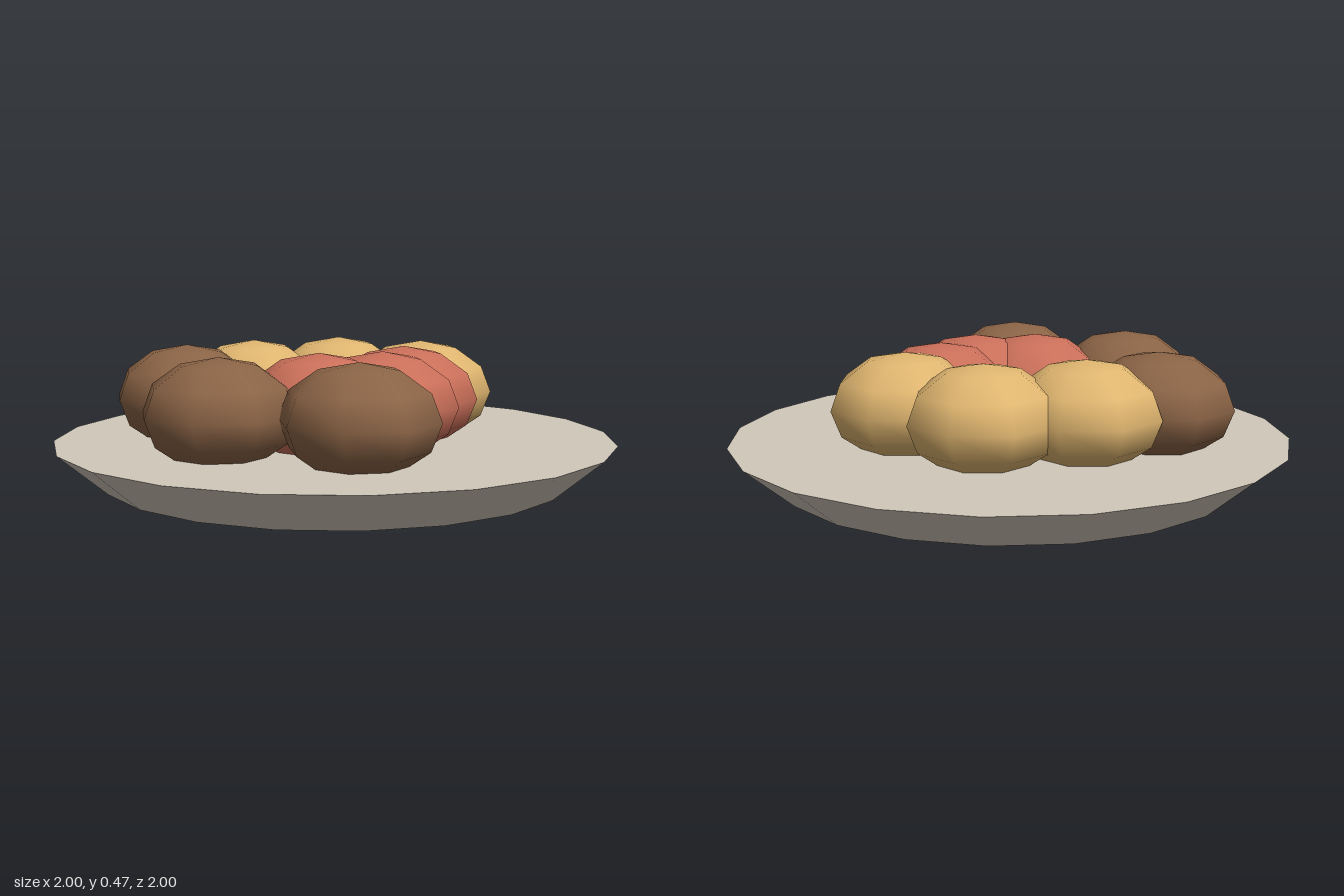
import * as THREE from 'three';

const PLATE_HEIGHT = 0.145;
const RADIUS = 0.266;

// Flavours, each with the [x, z] spots of its pieces on the plate
const FLAVOURS = [
  { name: 'brownBall', color: 0x8b6446, spots: [[-0.54, 0.05], [-0.29, 0.457], [0.19, 0.51]] },
  { name: 'redBall', color: 0xcb705a, spots: [[0.24, -0.065], [0.2, 0.15], [0, 0.25]] },
  { name: 'yellowBall', color: 0xe0b670, spots: [[-0.355, -0.19], [-0.07, -0.39], [0.267, -0.295]] },
];

export function createModel() {
  const model = new THREE.Group();
  model.name = 'plateOfBalls';

  // Flared twenty-sided plate with a flat top
  const plate = new THREE.Mesh(
    new THREE.CylinderGeometry(1, 0.83, PLATE_HEIGHT, 20),
    new THREE.MeshStandardMaterial({ color: 0xd0c8ba })
  );
  plate.name = 'plate';
  plate.position.y = PLATE_HEIGHT / 2;
  model.add(plate);

  // Flattened low-poly balls, sunk slightly into the plate
  const ballGeometry = new THREE.SphereGeometry(RADIUS, 8, 6).scale(1, 0.7, 1);
  for (const { name, color, spots } of FLAVOURS) {
    const material = new THREE.MeshStandardMaterial({ color });
    spots.forEach(([x, z], i) => {
      const ball = new THREE.Mesh(ballGeometry, material);
      ball.name = `${name}${i + 1}`;
      ball.position.set(x, 0.285, z);
      model.add(ball);
    });
  }
  return model;
}
